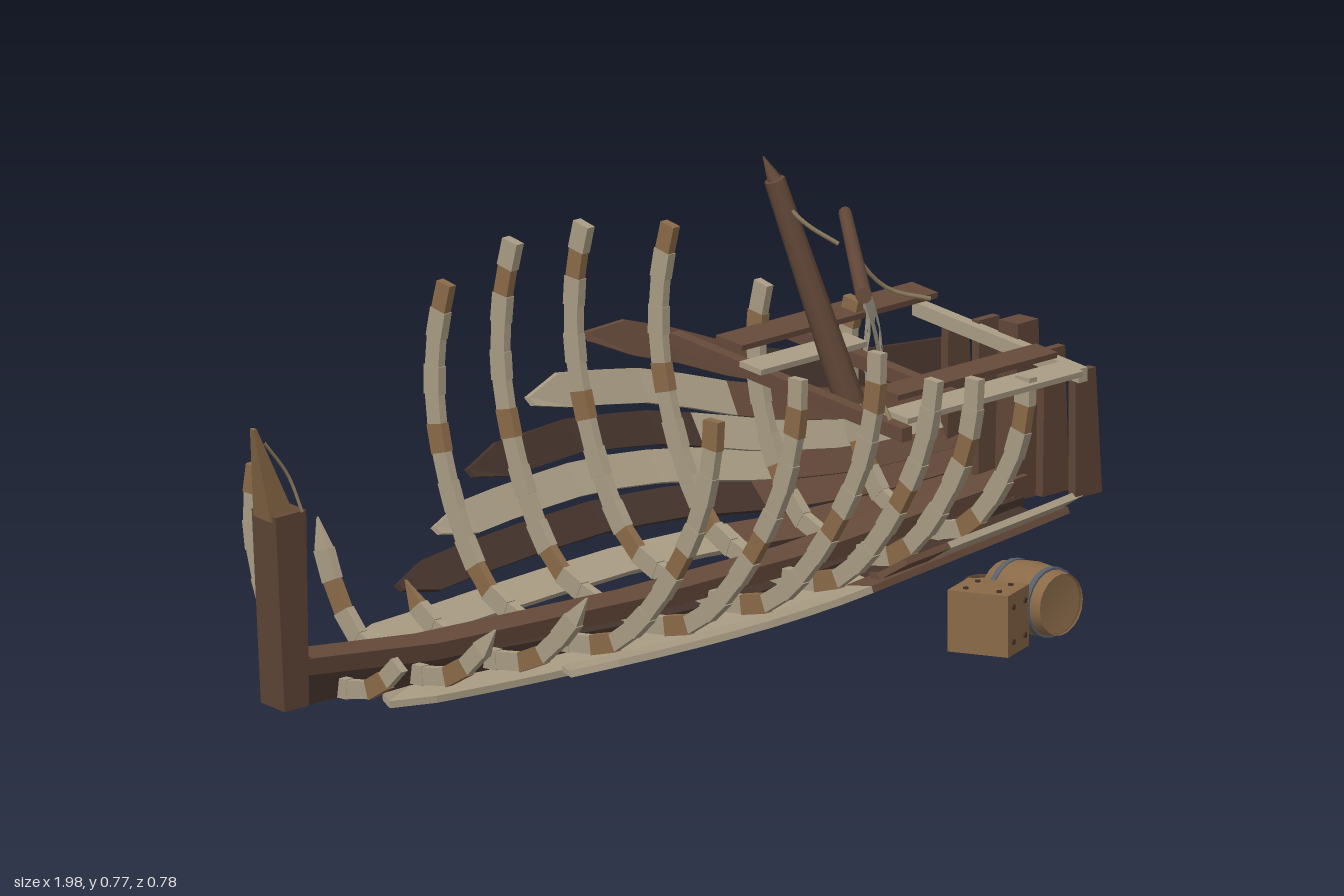
import * as THREE from 'three';

const V = (x, y, z) => new THREE.Vector3(x, y, z);
const C = { pale: 0xa99c84, tan: 0x8a6a48, brown: 0x654a3a, dark: 0x44332b, cloth: 0xaaa28f, rope: 0x8f7d60, iron: 0x5a5f68 };
const mats = {};
const mat = (c, double) => mats[c + double] ??= new THREE.MeshStandardMaterial(
  double ? { color: C[c], side: THREE.DoubleSide } : { color: C[c] });

function add(parent, name, geo, color, double = false) {
  const m = new THREE.Mesh(geo, mat(color, double));
  m.name = name;
  parent.add(m);
  return m;
}

// Flat-faced solid through a row of four-cornered sections
function loft(rings) {
  const tris = [];
  const quad = (a, b, c, d) => tris.push([a, b, c], [a, c, d]);
  for (let i = 0; i < rings.length - 1; i++)
    for (let k = 0; k < 4; k++) {
      const n = (k + 1) % 4;
      quad(rings[i][k], rings[i][n], rings[i + 1][n], rings[i + 1][k]);
    }
  quad(...[...rings[0]].reverse());
  quad(...rings[rings.length - 1]);
  const o = rings[0][0], e = V(), f = V(), h = V();
  const volume = tris.reduce((s, [a, b, c]) =>
    s + e.subVectors(a, o).dot(f.subVectors(b, o).cross(h.subVectors(c, o))), 0);
  const pts = tris.flatMap(t => (volume < 0 ? [t[0], t[2], t[1]] : t));
  const g = new THREE.BufferGeometry().setFromPoints(pts);
  g.computeVertexNormals();
  return g;
}
// Rectangular sections: across the length (yz) or level (xz)
const ringYZ = (x, y, z, h, w) => [V(x, y - h / 2, z - w / 2), V(x, y - h / 2, z + w / 2), V(x, y + h / 2, z + w / 2), V(x, y + h / 2, z - w / 2)];
const ringXZ = (x, y, z, l, w) => [V(x - l / 2, y, z - w / 2), V(x + l / 2, y, z - w / 2), V(x + l / 2, y, z + w / 2), V(x - l / 2, y, z + w / 2)];

// Half of the widest hull section, scaled along the length
const section = new THREE.SplineCurve([[0, .04], [.09, .055], [.17, .09], [.255, .2], [.325, .36], [.345, .5], [.335, .62]]
  .map(p => new THREE.Vector2(...p)));
const scales = [[-1, .45], [-.73, .62], [-.55, .72], [-.37, .82], [-.19, .92], [-.01, .98], [.175, 1], [.355, .91], [.535, .72], [.715, .59], [.97, .5]];
function scaleAt(x) {
  const i = Math.max(1, scales.findIndex(p => p[0] >= x));
  const [a, b] = [scales[i - 1], scales[i]];
  return THREE.MathUtils.mapLinear(x, a[0], b[0], a[1], b[1]);
}
function hull(x, t, side, out, along = 0) {
  const s = scaleAt(x), p = section.getPointAt(t), d = section.getTangentAt(t);
  return V(x, p.y * s + .05 * x * x + (1 - s) * .03 - d.x * out + d.y * along, side * (p.x * s + d.y * out + d.x * along));
}

function rope(parent, pts, r = .004) {
  add(parent, 'rope', new THREE.TubeGeometry(new THREE.CatmullRomCurve3(pts.map(p => V(...p))), 12, r, 5), 'rope');
}
function pole(parent, name, a, b, r0, r1, color, sides = 10) {
  const d = b.clone().sub(a);
  const m = add(parent, name, new THREE.CylinderGeometry(r1, r0, d.length(), sides), color);
  m.position.copy(a).addScaledVector(d, .5);
  m.quaternion.setFromUnitVectors(V(0, 1, 0), d.normalize());
}

function buildHull(ship) {
  // Keel, keelson and raked stem with a splintered tip
  add(ship, 'keel', loft([[-.87, .1, .1], [-.72, .08, .06], [-.5, .045, .05], [0, .012, .05], [.3, .008, .05], [.94, .045, .06]]
    .map(([x, y, h]) => ringYZ(x, y, 0, h, .05))), 'dark');
  add(ship, 'keelson', loft([[-.86, .125], [-.5, .085], [0, .065], [.4, .065], [.94, .1]]
    .map(([x, y]) => ringYZ(x, y, 0, .03, .055))), 'brown');
  add(ship, 'stem', loft([ringXZ(-.84, .05, 0, .06, .055), ringXZ(-.905, .41, 0, .075, .055)]), 'brown');
  add(ship, 'stemTip', loft([ringXZ(-.915, .4, 0, .06, .04), ringXZ(-.99, .57, 0, .008, .008)]), 'tan');
  rope(ship, [[-.96, .54, 0], [-.9, .47, .01], [-.88, .41, .03]], .003);

  // Ribs in blocks: x, upper end on the far side, upper end on the near side, splintered
  const ribs = [[-.73, .92, .38, 0], [-.55, .6, .46, 1], [-.37, .32, .5, 1], [-.19, 1, .93, 0], [-.01, 1, .95, 0],
    [.175, .97, .95, 0], [.355, 1, .88, 0], [.535, .97, .94, 0], [.715, 1, .97, 0]];
  ribs.forEach(([x, far, near, sharp], r) => {
    const rib = new THREE.Group();
    rib.name = 'rib';
    ship.add(rib);
    [[-1, far], [1, near]].forEach(([side, end]) => {
      const n = Math.max(3, Math.round(end * 15 * scaleAt(x)));
      const ring = (t, k) => [[-1, -1], [1, -1], [1, 1], [-1, 1]].map(([a, b]) =>
        hull(x, t, side, b * .017 * k).add(V(a * .009 * k, 0, 0)));
      for (let i = 0; i < n; i++) {
        const k = 1 - .1 * (i % 2), last = sharp && i === n - 1;
        add(rib, 'ribBlock', loft([ring(end * i / n, k), ring(end * (i + 1) / n, last ? .1 : k)]),
          (i * 7 + r * 5 + side) % 5 === 0 ? 'tan' : 'pale');
      }
    });
  });

  // Strakes: side, height on section, broken end, stern end, colours of successive boards
  const strakes = [[-1, .70, .23, .96, 'brown', 'dark'], [-1, .59, .08, .97, 'pale', 'brown'], [-1, .49, -.1, .95, 'dark', 'pale'],
    [-1, .40, -.22, .96, 'pale', 'brown'], [-1, .31, -.36, .94, 'dark', 'brown'], [-1, .21, -.55, .95, 'pale', 'brown'], [-1, .1, -.65, .93, 'brown', 'pale'],
    [1, .1, -.65, .93, 'pale', 'dark'], [1, .2, -.3, .95, 'pale', 'brown'], [1, .3, .38, .94, 'brown', 'pale']];
  strakes.forEach(([side, t, x0, x1, c0, c1], j) => {
    const joint = .58 - (j % 3) * .08;
    [[x0, joint, c0], [joint, x1, c1]].forEach(([a, b, color], part) => {
      const rings = [], n = Math.max(3, Math.ceil((b - a) / .09));
      for (let i = 0; i <= n; i++) {
        const x = a + (b - a) * i / n, k = part === 0 && i === 0 ? .25 : 1;
        rings.push([[.018, -1], [.03, -1], [.042, 1], [.03, 1]].map(([o, w]) => hull(x, t, side, o, w * .03 * k)));
      }
      add(ship, 'strake', loft(rings), color);
    });
  });
}

function buildStern(root) {
  // Upright stern boards, edge on to the stern
  [[.11, .36, .08, .13, .016], [.04, .385, .005, .12, .016], [-.035, .42, -.075, .1, .045], [-.11, .41, -.142, .13, .016], [-.18, .39, -.212, .16, .016]]
    .forEach(([z1, y1, z0, y0, w]) => add(root, 'sternBoard',
      loft([ringXZ(.955, y0, z0, .065, w), ringXZ(.915, y1, z1, .05, w)]), 'brown'));
  add(root, 'sternBeam', loft([ringYZ(.885, .36, .14, .025, .001), ringYZ(.885, .41, -.24, .025, .001)]
    .map((r, i) => [-1, 1, 1, -1].map((s, k) => V(.885 + s * .011, (i ? .41 : .36) + (k < 2 ? -.012 : .012), i ? -.24 : .14)))), 'pale');

  // Deck beams and the few deck planks left on them
  [[.4, .19, -.34], [.6, .17, -.27]].forEach(([x, z0, z1]) => {
    const y = z => .385 - z * .135;
    add(root, 'deckBeam', loft([z0, z1].map(z => [[-1, -1], [1, -1], [1, 1], [-1, 1]]
      .map(([a, b]) => V(x + a * .012, y(z) + b * .012, z)))), 'brown');
  });
  [[.4, .83, .165, .055, 'pale'], [.47, .86, .08, .05, 'brown'], [.36, .62, -.13, .05, 'pale'], [.42, .9, -.235, .06, 'brown']]
    .forEach(([x0, x1, z, w, color]) => {
      const p = add(root, 'deckPlank', new THREE.BoxGeometry(x1 - x0, .01, w), color);
      p.position.set((x0 + x1) / 2, .407 - z * .13, z);
      p.rotation.x = .13;
    });
}

function buildRig(root) {
  pole(root, 'mast', V(.54, .34, -.07), V(.43, .735, -.14), .026, .018, 'brown', 8);
  pole(root, 'mastTip', V(.43, .735, -.14), V(.418, .775, -.155), .013, .001, 'brown', 6);
  const a = V(.23, .642, .25), b = V(.71, .606, -.24);
  pole(root, 'yard', a, b, .014, .011, 'brown');

  // Torn sail: a billowing grid with ragged bottom edge and holes
  const depth = [.14, .15, .15, .07, .07, .12, .12, .16, .2, .22, .22, .075, .075, .075, .15, .27, .24, .14];
  const pos = [], rows = 8, n = depth.length;
  const point = (i, j, d) => {
    const u = i / n, drop = d * j / rows;
    return a.clone().lerp(b, .08 + .81 * u)
      .add(V(.69, 0, .72).multiplyScalar(.045 * Math.sin(Math.min(1, drop / .2) * 2.2) * (.6 + .4 * Math.sin(u * Math.PI))))
      .add(V(0, -.008 - drop, 0));
  };
  for (let i = 0; i < n; i++)
    for (let j = 0; j < rows; j++) {
      const d = depth[i], q = [point(i, j, d), point(i, j + 1, d), point(i + 1, j + 1, d), point(i + 1, j, d)];
      [0, 1, 2, 0, 2, 3].forEach(k => pos.push(q[k]));
    }
  const sail = new THREE.BufferGeometry().setFromPoints(pos);
  sail.computeVertexNormals();
  add(root, 'sail', sail, 'cloth', true);

  rope(root, [[.435, .7, -.13], [.46, .66, -.095], [.5, .625, -.06]]);
  rope(root, [[.7, .605, -.235], [.74, .52, -.235], [.8, .46, -.225], [.87, .435, -.195]]);
  rope(root, [[.44, .46, .07], [.4, .43, .12], [.36, .39, .19]]);
}

function buildCargo(root) {
  // Barrel as a turned body with iron hoops
  const barrel = (name, r, len) => {
    const g = new THREE.Group(), h = len / 2;
    g.name = name;
    const prof = [[0, -h + .006], [r * .82, -h + .006], [r * .85, -h], [r * .95, -h * .5], [r, 0], [r * .95, h * .5], [r * .85, h], [r * .82, h - .006], [0, h - .006]];
    add(g, 'barrelBody', new THREE.LatheGeometry(prof.map(p => new THREE.Vector2(...p)), 20), 'tan');
    [-.62, .62].forEach(k => add(g, 'hoop', new THREE.CylinderGeometry(r * .97, r * .97, .011, 20), 'iron').position.y = k * h);
    root.add(g);
    return g;
  };
  const big = barrel('barrel', .062, .135);
  big.rotation.x = Math.PI / 2;
  big.position.set(.575, .066, .312);
  const small = barrel('smallBarrel', .042, .08);
  small.position.set(.545, .05, .235);

  // Crate with nail heads
  const crate = new THREE.Group();
  crate.name = 'crate';
  crate.position.set(.46, .055, .32);
  crate.rotation.y = .35;
  add(crate, 'crateBox', new THREE.BoxGeometry(.09, .106, .11), 'tan');
  [-1, 1].forEach(i => [-1, 1].forEach(k => {
    add(crate, 'nail', new THREE.CylinderGeometry(.005, .005, .004, 8), 'dark').position.set(i * .025, .054, k * .03);
    const n = add(crate, 'nail', new THREE.CylinderGeometry(.005, .005, .004, 8), 'dark');
    n.rotation.x = Math.PI / 2;
    n.position.set(i * .025, k * .03, .056);
  }));
  root.add(crate);
}

export function createModel() {
  const root = new THREE.Group();
  root.name = 'shipwreck';
  // The hull lies heeled over to one side
  const ship = new THREE.Group();
  ship.name = 'hull';
  ship.position.set(0, .035, -.08);
  ship.rotation.x = .13;
  root.add(ship);
  buildHull(ship);
  buildStern(root);
  buildRig(root);
  buildCargo(root);
  return root;
}
